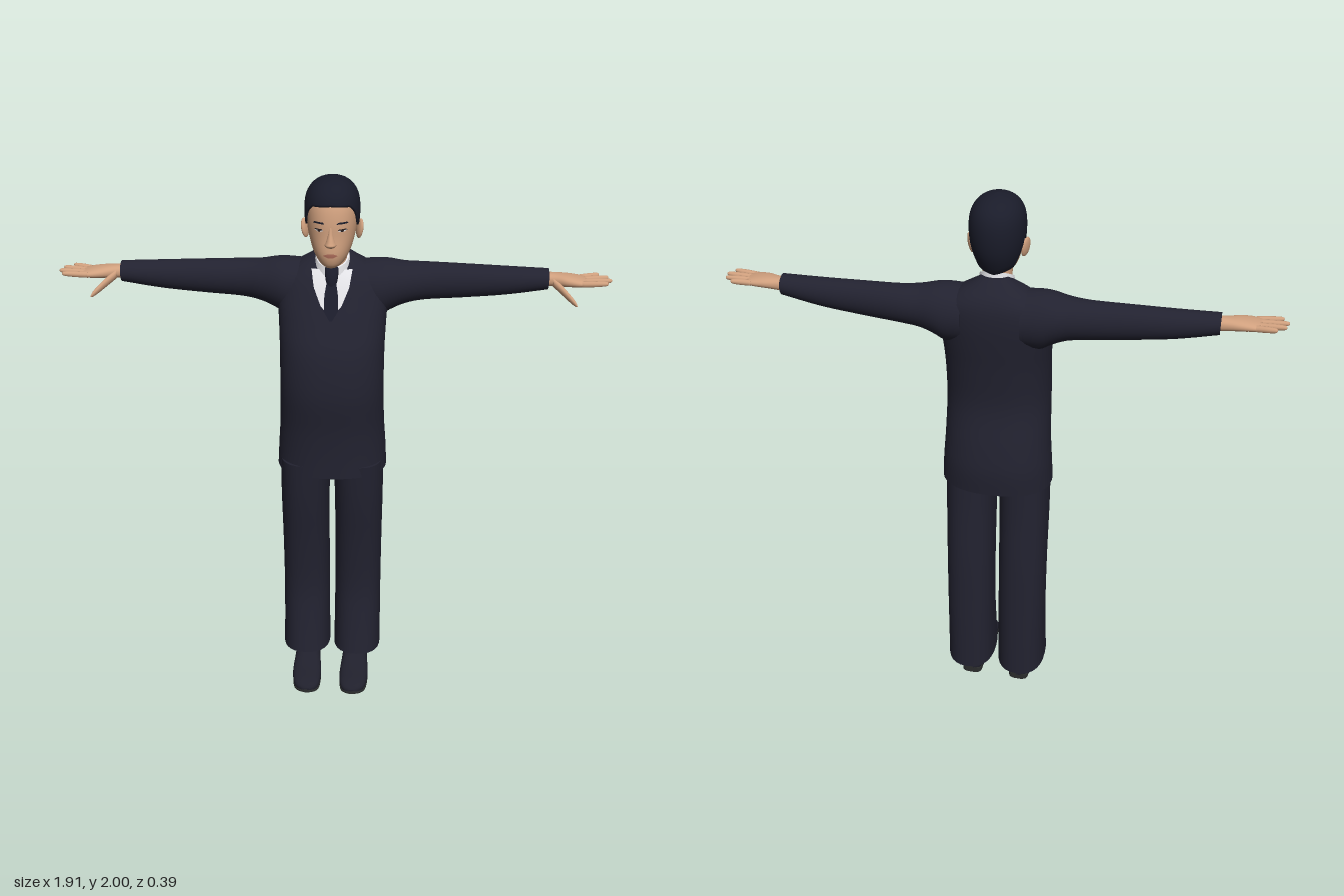
import * as THREE from 'three';

const mat = (name, color, side = THREE.FrontSide) => {
  const m = new THREE.MeshStandardMaterial({ color, side });
  m.name = name;
  return m;
};

// Catmull-Rom refinement of section rows
function smooth(rows, sub = 4) {
  const out = [], last = rows.length - 1;
  for (let i = 0; i < last; i++) {
    const [a, b, c, d] = [rows[Math.max(i - 1, 0)], rows[i], rows[i + 1], rows[Math.min(i + 2, last)]];
    for (let s = 0; s < sub; s++) {
      const t = s / sub;
      out.push(b.map((v, k) => v + 0.5 * t * (c[k] - a[k] + t * (2 * a[k] - 5 * v + 4 * c[k] - d[k]
        + t * (3 * (v - c[k]) + d[k] - a[k])))));
    }
  }
  return [...out, rows[last]];
}

// Linear lookup in rows sorted by their first column
function at(rows, t) {
  let i = 0;
  while (i < rows.length - 2 && rows[i + 1][0] < t) i++;
  const f = THREE.MathUtils.clamp((t - rows[i][0]) / (rows[i + 1][0] - rows[i][0]), 0, 1);
  return rows[i].map((v, k) => v + (rows[i + 1][k] - v) * f);
}

// Closed skin over rings of points, with flat end caps
function skin(rings) {
  const pos = [], idx = [], n = rings[0].length;
  rings.forEach(r => r.forEach(p => pos.push(...p)));
  for (let i = 0; i < rings.length - 1; i++) for (let j = 0; j < n; j++) {
    const a = i * n + j, b = i * n + (j + 1) % n;
    idx.push(a, b, b + n, a, b + n, a + n);
  }
  [rings[0], rings[rings.length - 1]].forEach((r, end) => {
    const base = pos.length / 3;
    r.forEach(p => pos.push(...p));
    pos.push(...[0, 1, 2].map(k => r.reduce((s, p) => s + p[k], 0) / n));
    for (let j = 0; j < n; j++) {
      const a = base + j, b = base + (j + 1) % n;
      idx.push(base + n, ...(end ? [a, b] : [b, a]));
    }
  });
  return geometry(pos, idx);
}

function geometry(pos, idx) {
  const g = new THREE.BufferGeometry();
  g.setAttribute('position', new THREE.Float32BufferAttribute(pos, 3));
  g.setIndex(idx);
  g.computeVertexNormals();
  return g;
}

const power = (v, n) => Math.sign(v) * Math.abs(v) ** (2 / n);

// Rows are [t, c1, r1, c2, r2]; the two axes follow the loft axis in cyclic order (y: z then x)
function loft(axis, rows, { n = 2, seg = 28, warp } = {}) {
  const k = 'xyz'.indexOf(axis);
  return skin(smooth(rows).map(([t, c1, r1, c2, r2]) => Array.from({ length: seg }, (_, j) => {
    const a = j / seg * Math.PI * 2, p = [];
    p[k] = t;
    p[(k + 1) % 3] = c1 + r1 * power(Math.cos(a), n);
    p[(k + 2) % 3] = c2 + r2 * power(Math.sin(a), n);
    if (warp) warp(p);
    return p;
  })));
}

// Front depth of a vertical loft at (x, y)
const frontOf = (rows, n) => {
  const fine = smooth(rows);
  return (x, y) => {
    const [, c, r, , w] = at(fine, y);
    return c + r * Math.max(0, 1 - Math.abs(x / w) ** n) ** (1 / n);
  };
};

// Thin patch laid over a front surface; rows are [y, xMin, xMax], rising
function patch(rows, depth, offset, cols = 10) {
  const pos = [], idx = [], fine = [];
  for (let i = 0; i < rows.length - 1; i++) for (let s = 0; s < 4; s++)
    fine.push(rows[i].map((v, k) => v + (rows[i + 1][k] - v) * s / 4));
  fine.push(rows[rows.length - 1]);
  fine.forEach(([y, x0, x1], i) => {
    for (let j = 0; j <= cols; j++) {
      const x = x0 + (x1 - x0) * j / cols, a = i * (cols + 1) + j;
      pos.push(x, y, depth(x, y) + offset);
      if (i && j) idx.push(a - cols - 2, a - cols - 1, a, a - cols - 2, a, a - 1);
    }
  });
  return geometry(pos, idx);
}

function mirror(g) {
  const m = g.clone().scale(-1, 1, 1), ix = m.index.array;
  for (let i = 0; i < ix.length; i += 3) [ix[i], ix[i + 1]] = [ix[i + 1], ix[i]];
  m.computeVertexNormals();
  return m;
}

export function createModel() {
  const root = new THREE.Group();
  root.name = 'suitedMan';
  const suit = mat('navySuit', 0x222230), hairMat = mat('darkHair', 0x1a1c2a), skinMat = mat('skin', 0xd0a07e);
  const white = mat('whiteShirt', 0xe6e6ea, THREE.DoubleSide), tieMat = mat('darkTie', 0x1b1c2b, THREE.DoubleSide);
  const shoeMat = mat('shoeLeather', 0x20202c), soleMat = mat('shoeSole', 0x2b2d2d);
  const lipMat = mat('lips', 0xa96a58, THREE.DoubleSide), eyeMat = mat('eyeDark', 0x2a2020, THREE.DoubleSide);
  const add = (name, g, m) => {
    const mesh = new THREE.Mesh(g, m);
    mesh.name = name;
    root.add(mesh);
  };
  const pair = (name, g, m) => {
    add(name + 'Left', g, m);
    add(name + 'Right', mirror(g), m);
  };

  // Jacket body: [y, front, back, half width]
  const jacket = [[.93, .11, -.185, .2], [1.02, .11, -.19, .195], [1.12, .115, -.178, .188], [1.26, .13, -.155, .184],
    [1.4, .115, -.165, .184], [1.5, .078, -.178, .188], [1.58, .042, -.186, .192], [1.64, .014, -.184, .18],
    [1.68, -.01, -.17, .135], [1.71, -.035, -.145, .085], [1.735, -.07, -.12, .045]]
    .map(([y, f, b, w]) => [y, (f + b) / 2, (f - b) / 2, 0, w]);
  add('jacketBody', loft('y', jacket, { n: 2.3, seg: 48 }), suit);

  // Sleeves
  pair('sleeve', loft('x', [[.1, 1.595, .1, -.09, .09], [.16, 1.597, .102, -.092, .09], [.2, 1.606, .09, -.095, .083],
    [.25, 1.612, .075, -.1, .07], [.32, 1.616, .067, -.107, .058], [.45, 1.62, .06, -.103, .05],
    [.6, 1.626, .05, -.097, .045], [.74, 1.637, .036, -.089, .039]]), suit);

  // Hands
  pair('palm', loft('x', [[.72, 1.637, .024, -.088, .027], [.76, 1.638, .022, -.085, .03], [.8, 1.639, .02, -.077, .041],
    [.84, 1.638, .016, -.072, .045], [.868, 1.637, .011, -.071, .041]], { n: 2.3 }), skinMat);
  [[-.105, -.12, .918], [-.083, -.093, .947], [-.06, -.061, .955], [-.037, -.029, .938]].forEach(([z0, z1, tip], i) => {
    const row = (f, r) => [.85 + (tip - .85) * f, 1.638 + .006 * f, r, z0 + (z1 - z0) * f, r];
    pair('finger' + (i + 1), loft('x', [row(0, .011), row(.5, .0105), row(.85, .0085), row(.96, .006), row(1, .001)],
      { seg: 10 }), skinMat);
  });
  pair('thumb', loft('x', [[.755, 1.634, .016, -.066, .016], [.785, 1.614, .016, -.04, .016],
    [.812, 1.594, .013, -.012, .013], [.828, 1.582, .009, .003, .009], [.836, 1.575, .001, .011, .001]], { seg: 12 }), skinMat);

  // Trouser legs with hems dropping to the back
  pair('trouserLeg', loft('y', [[.097, -.045, .125, .1, .092], [.25, -.056, .112, .1, .09], [.4, -.062, .103, .1, .089],
    [.6, -.053, .108, .1, .089], [.8, -.035, .115, .1, .09], [.97, -.025, .12, .097, .092]],
  { n: 2.4, warp: p => { p[1] += (p[2] + .05) * .18 * Math.max(0, 1 - p[1] / .35); } }), suit);

  // Shoes, soles and heels
  pair('shoe', loft('z', [[-.113, .095, .025, .055, .035], [-.1, .095, .041, .062, .057], [-.03, .095, .046, .066, .062],
    [.03, .094, .05, .053, .048], [.1, .093, .056, .036, .032], [.16, .091, .05, .027, .023], [.185, .089, .034, .022, .016],
    [.195, .088, .012, .02, .006]], { n: 2.5, warp: p => { p[1] = Math.max(p[1], .012); } }), shoeMat);
  pair('sole', loft('z', [[-.03, .095, .037, .009, .008], [.03, .094, .045, .008, .008], [.1, .093, .055, .008, .008],
    [.16, .091, .05, .009, .008], [.185, .089, .035, .011, .008], [.197, .088, .01, .013, .006]], { n: 4 }), soleMat);
  pair('heel', loft('z', [[-.113, .095, .024, .015, .015], [-.1, .095, .038, .015, .015], [-.03, .095, .04, .015, .015]],
    { n: 5 }), soleMat);

  // Shirt front, collar and tie
  const chest = frontOf(jacket, 2.3);
  add('shirtFront', patch([[1.55, -.012, .012], [1.575, -.036, .036], [1.63, -.06, .06], [1.685, -.07, .07]], chest, .007, 16), white);
  add('collar', loft('y', [[1.655, -.05, .066, 0, .072], [1.69, -.05, .061, 0, .064], [1.725, -.05, .056, 0, .057]],
    { warp: p => { p[1] -= (p[2] + .05) * .55; } }), white);
  add('tieBlade', patch([[1.53, -.004, .004], [1.56, -.024, .024], [1.61, -.023, .023], [1.65, -.016, .016]], chest, .014), tieMat);
  add('tieKnot', loft('y', [[1.635, .018, .012, 0, .015], [1.66, .014, .014, 0, .021], [1.69, .004, .011, 0, .023],
    [1.7, 0, .006, 0, .018]], { seg: 16 }), tieMat);

  // Neck and head
  add('neck', loft('y', [[1.66, -.052, .05, 0, .051], [1.73, -.045, .052, 0, .05], [1.79, -.03, .06, 0, .052]]), skinMat);
  const headRows = [[1.715, .03, .035, 0, .022], [1.73, .012, .066, 0, .043], [1.765, -.01, .096, 0, .064],
    [1.82, -.026, .107, 0, .08], [1.87, -.033, .112, 0, .086], [1.92, -.036, .105, 0, .084],
    [1.96, -.036, .083, 0, .066], [1.985, -.036, .045, 0, .035]];
  add('head', loft('y', headRows, { n: 2.15, seg: 40 }), skinMat);

  // Hair shell with a hairline that varies round the head
  const hairRows = smooth([[1.745, -.02, .088, 0, .062], [1.8, -.03, .107, 0, .081], [1.85, -.035, .114, 0, .091],
    [1.9, -.036, .115, 0, .093], [1.94, -.036, .107, 0, .087], [1.97, -.036, .086, 0, .07], [1.99, -.036, .052, 0, .042],
    [2, -.036, .002, 0, .002]]);
  const hairline = [[0, 1.926], [42, 1.92], [58, 1.895], [72, 1.845], [86, 1.845], [95, 1.862], [106, 1.81], [118, 1.765], [180, 1.745]];
  const hairRing = (f, scale) => Array.from({ length: 72 }, (_, j) => {
    const a = j / 36 * Math.PI, low = at(hairline, Math.min(j, 72 - j) * 5)[1];
    const y = low + (2 - low) * Math.sin(f * Math.PI / 2), [, c, r, , w] = at(hairRows, y);
    return [w * power(Math.sin(a), 2.1) * scale, y, c + r * power(Math.cos(a), 2.1) * scale];
  });
  add('hair', skin([hairRing(0, .9), ...Array.from({ length: 19 }, (_, i) => hairRing(i / 18, 1))]), hairMat);

  // Ears and nose
  const ear = new THREE.SphereGeometry(1, 16, 12).scale(.009, .034, .021).rotateY(.45).rotateZ(-.15).translate(.092, 1.822, -.035);
  pair('ear', ear, skinMat);
  add('nose', loft('y', [[1.787, .072, .008, 0, .01], [1.798, .074, .026, 0, .02], [1.81, .074, .023, 0, .016],
    [1.835, .073, .014, 0, .009], [1.862, .07, .009, 0, .007]], { seg: 16 }), skinMat);

  // Eyes, brows and mouth
  const face = frontOf(headRows, 2.15);
  pair('eyeWhite', patch([[1.843, .034, .042], [1.847, .024, .053], [1.851, .027, .05]], face, .002), white);
  pair('iris', patch([[1.843, .036, .041], [1.847, .033, .044], [1.851, .034, .043]], face, .0035), eyeMat);
  pair('eyelid', patch([[1.849, .024, .055], [1.853, .029, .049]], face, .004), eyeMat);
  pair('eyebrow', patch([[1.869, .02, .058], [1.875, .025, .054]], face, .003), hairMat);
  add('mouth', patch([[1.758, -.01, .01], [1.765, -.025, .025], [1.772, -.008, .008]], face, .004), lipMat);
  return root;
}
